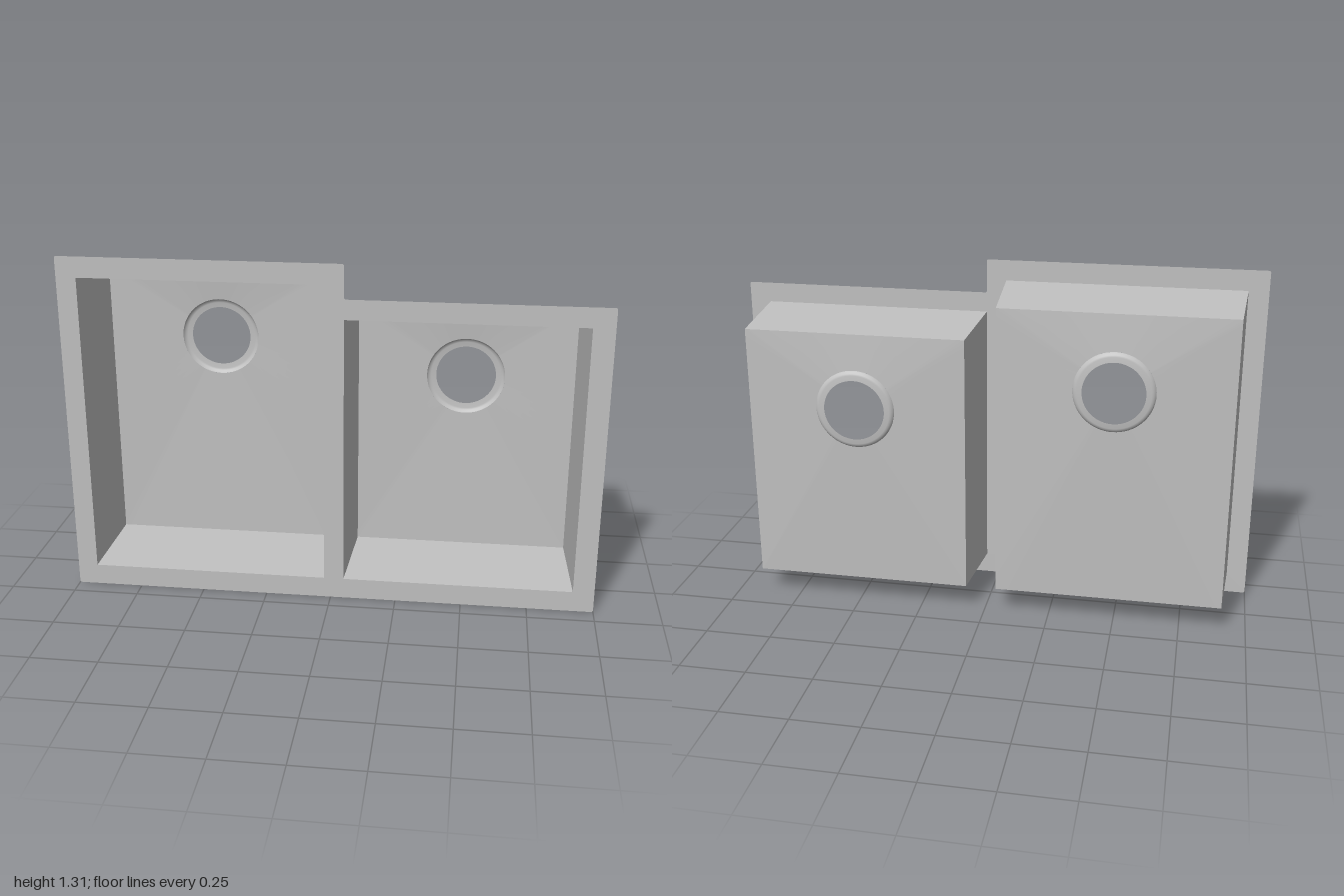
import * as THREE from 'three';

const FRONT = 0.18, FLOOR = -0.155, DRAIN = -0.166, BACK = -0.18;
const INSET = 0.02, DRAIN_R = 0.15, HOLE_R = 0.115;

// Each basin: opening rectangle and drain centre
const basins = [
  { name: 'rightBasin', x0: -0.925, x1: -0.025, y0: 0.08, y1: 1.235, cx: -0.475, cy: 0.93 },
  { name: 'leftBasin', x0: 0.05, x1: 0.92, y0: 0.08, y1: 1.11, cx: 0.485, cy: 0.805 },
];

const corners = (b, d) => [
  [b.x0 + d, b.y0 + d], [b.x1 - d, b.y0 + d], [b.x1 - d, b.y1 - d], [b.x0 + d, b.y1 - d],
];

// Trace a closed outline with slightly rounded corners
function rounded(shape, pts, r) {
  const v = pts.map(p => new THREE.Vector2(...p));
  v.forEach((p, i) => {
    const prev = v[(i + v.length - 1) % v.length], next = v[(i + 1) % v.length];
    const a = p.clone().add(prev.clone().sub(p).setLength(r));
    const c = p.clone().add(next.clone().sub(p).setLength(r));
    if (i === 0) shape.moveTo(a.x, a.y); else shape.lineTo(a.x, a.y);
    shape.quadraticCurveTo(p.x, p.y, c.x, c.y);
  });
  shape.closePath();
  return shape;
}

function surface(positions, index) {
  const g = new THREE.BufferGeometry();
  g.setAttribute('position', new THREE.Float32BufferAttribute(positions, 3));
  if (index) g.setIndex(index);
  g.computeVertexNormals();
  return g;
}

// Four tapered side walls
function wallGeometry(b) {
  const outer = corners(b, 0), inner = corners(b, INSET), pos = [];
  for (let i = 0; i < 4; i++) {
    const j = (i + 1) % 4;
    const A = [...outer[i], FRONT], B = [...outer[j], FRONT];
    const C = [...inner[j], FLOOR], D = [...inner[i], FLOOR];
    pos.push(...A, ...B, ...C, ...A, ...C, ...D);
  }
  return surface(pos);
}

// Gently sloping floor, from the rectangle down to the drain circle
function floorGeometry(b) {
  const rect = corners(b, INSET), angles = [];
  for (let i = 0; i < 64; i++) angles.push(-Math.PI + (i + 0.37) * Math.PI / 32);
  rect.forEach(([x, y]) => angles.push(Math.atan2(y - b.cy, x - b.cx)));
  angles.sort((a, c) => a - c);
  const pos = [], index = [], n = angles.length;
  angles.forEach((a, i) => {
    const c = Math.cos(a), s = Math.sin(a);
    const tx = ((c > 0 ? rect[1][0] : rect[0][0]) - b.cx) / c;
    const ty = ((s > 0 ? rect[2][1] : rect[0][1]) - b.cy) / s;
    const t = Math.min(tx, ty);
    pos.push(b.cx + c * t, b.cy + s * t, FLOOR);
    pos.push(b.cx + c * DRAIN_R, b.cy + s * DRAIN_R, DRAIN);
    const o = 2 * i, q = 2 * ((i + 1) % n);
    index.push(o, q, q + 1, o, q + 1, o + 1);
  });
  return surface(pos, index);
}

// Recessed ring around the open drain hole
function drainGeometry(b) {
  const profile = [
    [DRAIN_R, DRAIN], [0.147, -0.171], [0.141, -0.176], [0.134, -0.178], [HOLE_R, BACK],
  ].map(p => new THREE.Vector2(...p));
  return new THREE.LatheGeometry(profile, 64).rotateX(Math.PI / 2).translate(b.cx, b.cy, 0);
}

export function createModel() {
  const model = new THREE.Group();
  model.name = 'doubleSink';
  const steel = new THREE.MeshStandardMaterial({ color: 0xc0c0c0, side: THREE.DoubleSide });
  steel.name = 'brushed steel';
  const add = (parent, name, geometry) => {
    const mesh = new THREE.Mesh(geometry, steel);
    mesh.name = name;
    parent.add(mesh);
  };

  // Flat stepped rim with two openings
  const rim = rounded(new THREE.Shape(), [
    [-1, 0], [1, 0], [1, 1.185], [0.05, 1.185], [0.05, 1.313], [-1, 1.313],
  ], 0.008);
  for (const b of basins) {
    rim.holes.push(rounded(new THREE.Path(), corners(b, 0).reverse(), 0.001));
  }
  add(model, 'rim', new THREE.ShapeGeometry(rim, 4).translate(0, 0, FRONT));

  // Basins
  for (const b of basins) {
    const basin = new THREE.Group();
    basin.name = b.name;
    add(basin, 'walls', wallGeometry(b));
    add(basin, 'floor', floorGeometry(b));
    add(basin, 'drainRing', drainGeometry(b));
    model.add(basin);
  }
  return model;
}
